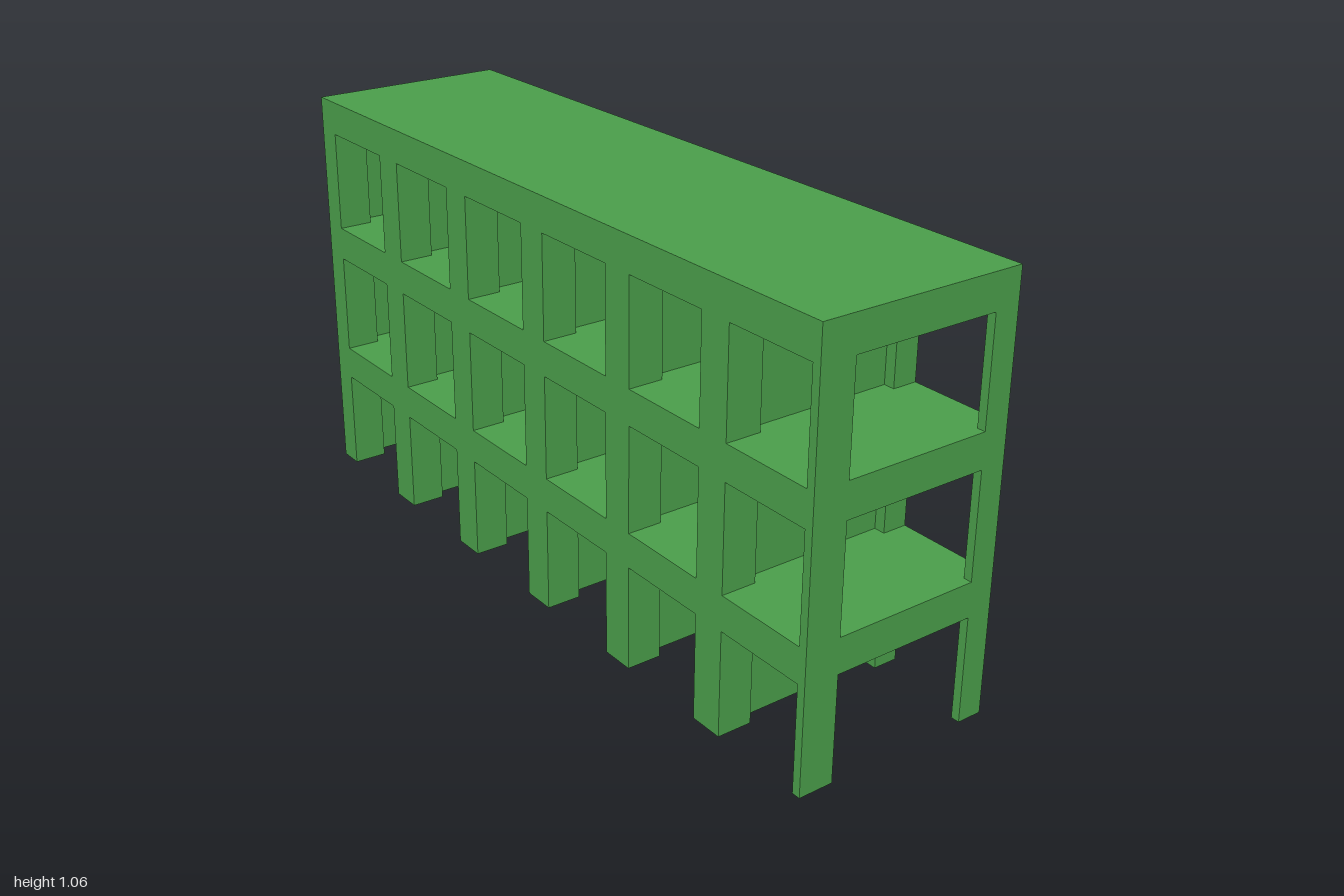
import * as THREE from 'three';

const X0 = -0.265, X1 = 0.265;   // outer sides
const IN0 = -0.175, IN1 = 0.2;   // inner faces of the side frames
const H = 1.06, BEAM = 0.088, PANEL = 0.03;
const beamTops = [0.355, 0.709, H];
const bays = [0, 1, 2, 3, 4, 5].map(i => [-0.932 + i * 0.333, -0.687 + i * 0.333]);

export function createModel() {
  const model = new THREE.Group();
  const green = new THREE.MeshStandardMaterial({ color: 0x4a9e4a });
  green.name = 'green';

  const add = (name, geometry) => {
    const mesh = new THREE.Mesh(geometry, green);
    mesh.name = name;
    model.add(mesh);
    return mesh;
  };
  const box = (name, x0, x1, y0, y1, z0, z1) => {
    const mesh = add(name, new THREE.BoxGeometry(x1 - x0, y1 - y0, z1 - z0));
    mesh.position.set((x0 + x1) / 2, (y0 + y1) / 2, (z0 + z1) / 2);
  };

  // Side frame: ground bays notch the outline, upper bays are holes
  const sideFrame = (name, x0, x1) => {
    const s = new THREE.Shape();
    const first = beamTops[0] - BEAM;
    s.moveTo(1, 0);
    s.lineTo(1, H);
    s.lineTo(-1, H);
    s.lineTo(-1, 0);
    for (const [a, b] of bays) {
      s.lineTo(a, 0);
      s.lineTo(a, first);
      s.lineTo(b, first);
      s.lineTo(b, 0);
    }
    for (let f = 0; f < 2; f++) {
      const lo = beamTops[f], hi = beamTops[f + 1] - BEAM;
      for (const [a, b] of bays) {
        const hole = new THREE.Path();
        hole.moveTo(a, lo);
        hole.lineTo(a, hi);
        hole.lineTo(b, hi);
        hole.lineTo(b, lo);
        hole.closePath();
        s.holes.push(hole);
      }
    }
    const g = new THREE.ExtrudeGeometry(s, { depth: x1 - x0, bevelEnabled: false });
    g.rotateY(-Math.PI / 2); // shape x becomes z, depth runs to -x
    g.translate(x1, 0, 0);
    add(name, g);
  };
  sideFrame('rightSideFrame', X0, IN0);
  sideFrame('leftSideFrame', IN1, X1);

  // Floors, with deeper cross beams between the posts
  beamTops.forEach(top => {
    box('floorSlab', IN0, IN1, top - BEAM + 0.03, top, -1, 1);
    const lo = top - BEAM, hi = top - BEAM + 0.03;
    box('frontBeam', IN0, IN1, lo, hi, bays[5][1], 1);
    box('backBeam', IN0, IN1, lo, hi, -1, bays[0][0]);
    for (let i = 0; i < 5; i++) box('crossBeam', IN0, IN1, lo, hi, bays[i][1], bays[i + 1][0]);
  });

  // Thin partitions between the posts and the closed back wall
  for (let f = 0; f < 3; f++) {
    const lo = f ? beamTops[f - 1] : 0, hi = beamTops[f] - BEAM;
    box('backWall', IN0, IN1, lo, hi, -1, -1 + PANEL);
    for (let i = 0; i < 5; i++) {
      const z = (bays[i][1] + bays[i + 1][0]) / 2;
      box('partition', IN0, IN1, lo, hi, z - PANEL / 2, z + PANEL / 2);
    }
  }
  return model;
}
